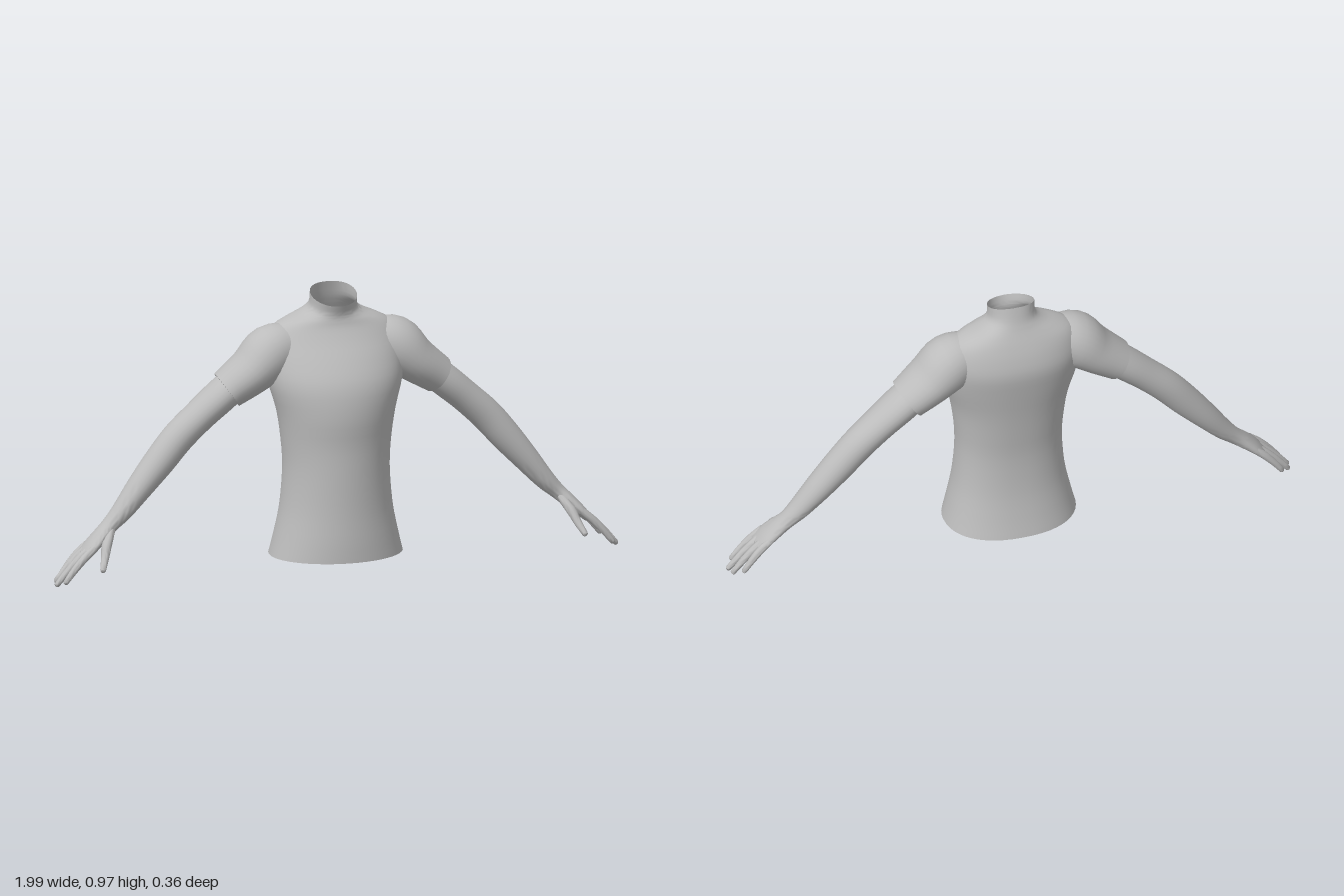
import * as THREE from 'three';
import { toCreasedNormals } from 'three/addons/utils/BufferGeometryUtils.js';

const V = (x, y, z) => new THREE.Vector3(x, y, z);

// Skin a list of closed rings (arrays of Vector3, same length).
function loft(rings, mirror = false, crease = 1) {
  const n = rings[0].length, pos = [], idx = [];
  for (const ring of rings) for (const p of ring) pos.push(mirror ? -p.x : p.x, p.y, p.z);
  for (let r = 0; r < rings.length - 1; r++) {
    for (let i = 0; i < n; i++) {
      const j = (i + 1) % n, a = r * n + i, b = r * n + j, c = a + n, d = b + n;
      if (mirror) idx.push(a, b, c, b, d, c);
      else idx.push(a, c, b, b, c, d);
    }
  }
  const g = new THREE.BufferGeometry();
  g.setAttribute('position', new THREE.Float32BufferAttribute(pos, 3));
  g.setIndex(idx);
  return toCreasedNormals(g, crease);
}

// Smooth curve through three-number samples, sampled evenly between them.
function smooth(list, steps) {
  const curve = new THREE.CatmullRomCurve3(list.map(p => V(...p)), false, 'catmullrom', 0.5);
  return curve.getPoints((list.length - 1) * steps);
}

// Rings along a path; each station is [x, y, z, radius in the front plane, radius across].
function limbRings(stations, sides = 20, steps = 4) {
  const path = smooth(stations.map(s => s.slice(0, 3)), steps);
  const radii = smooth(stations.map(s => [s[3], s[4], 0]), steps);
  return path.map((p, k) => {
    const d = path[Math.min(k + 1, path.length - 1)].clone().sub(path[Math.max(k - 1, 0)]).normalize();
    const n = d.clone().cross(V(0, 0, 1)).normalize();
    const b = n.clone().cross(d);
    return Array.from({ length: sides }, (_, i) => {
      const a = i / sides * Math.PI * 2;
      return p.clone().addScaledVector(n, Math.cos(a) * radii[k].x).addScaledVector(b, Math.sin(a) * radii[k].y);
    });
  });
}

// Shrink a ring towards its centre.
function shrink(ring, f) {
  const c = ring.reduce((s, p) => s.add(p), V(0, 0, 0)).divideScalar(ring.length);
  return ring.map(p => p.clone().sub(c).multiplyScalar(f).add(c));
}

// Close the far end of a limb with a rounded tip.
function roundTip(rings, length) {
  const last = rings[rings.length - 1], prev = rings[rings.length - 2];
  const centre = r => r.reduce((s, p) => s.add(p), V(0, 0, 0)).divideScalar(r.length);
  const d = centre(last).sub(centre(prev)).normalize();
  for (const a of [0.4, 0.8, 1.2, 1.56]) {
    rings.push(shrink(last, Math.cos(a)).map(p => p.addScaledVector(d, length * Math.sin(a))));
  }
  return rings;
}

// Torso rows: [height, half width, front z, back z, middle z, tilt]
const TORSO = [
  [0.05, 0.23, 0.18, -0.18, 0, 0],
  [0.12, 0.213, 0.178, -0.163, 0, 0],
  [0.22, 0.193, 0.172, -0.145, 0, 0],
  [0.35, 0.183, 0.169, -0.137, 0, 0],
  [0.45, 0.189, 0.168, -0.143, 0, 0],
  [0.55, 0.204, 0.174, -0.153, 0, 0],
  [0.65, 0.232, 0.16, -0.167, -0.01, 0],
  [0.73, 0.24, 0.118, -0.175, -0.03, 0],
  [0.79, 0.232, 0.077, -0.163, -0.04, 0],
  [0.835, 0.208, 0.05, -0.146, -0.045, 0],
  [0.862, 0.16, 0.042, -0.131, -0.04, 0.05],
  [0.88, 0.114, 0.04, -0.12, -0.035, 0.12],
  [0.902, 0.084, 0.042, -0.109, -0.03, 0.22],
  [0.943, 0.08, 0.052, -0.096, -0.028, 0.36],
];

function torsoRings() {
  const steps = 3, sides = 48;
  const a = smooth(TORSO.map(r => r.slice(0, 3)), steps);
  const b = smooth(TORSO.map(r => r.slice(3)), steps);
  return a.map(({ x: y, y: w, z: front }, k) => {
    const { x: back, y: mid, z: tilt } = b[k];
    return Array.from({ length: sides }, (_, i) => {
      const t = i / sides * Math.PI * 2, c = Math.cos(t), s = Math.sin(t);
      const power = s < 0 ? 0.88 : 1;
      const x = w * Math.sign(c) * Math.abs(c) ** power;
      const z = mid + (s > 0 ? front - mid : mid - back) * Math.sign(s) * Math.abs(s) ** power;
      return V(x, y - tilt * (z + 0.027), z);
    });
  });
}

const SLEEVE = [
  [0.13, 0.77, -0.04, 0.075, 0.07],
  [0.215, 0.75, -0.04, 0.095, 0.098],
  [0.288, 0.69, -0.04, 0.079, 0.1],
  [0.372, 0.629, -0.046, 0.066, 0.086],
];

const ARM = [
  [0.32, 0.67, -0.045, 0.055, 0.073],
  [0.4, 0.605, -0.045, 0.056, 0.073],
  [0.47, 0.545, -0.046, 0.054, 0.066],
  [0.545, 0.475, -0.046, 0.055, 0.06],
  [0.61, 0.4, -0.042, 0.053, 0.057],
  [0.68, 0.318, -0.037, 0.045, 0.052],
  [0.745, 0.24, -0.03, 0.035, 0.043],
  [0.79, 0.195, -0.026, 0.027, 0.036],
  [0.825, 0.163, -0.018, 0.024, 0.044],
  [0.86, 0.131, -0.012, 0.02, 0.052],
  [0.888, 0.103, -0.011, 0.015, 0.052],
];

// Finger rows: [base z, tip x, tip y, tip z]
const FINGERS = [
  [0.029, 0.966, 0.022, 0.039],
  [0.002, 0.987, 0.008, 0.006],
  [-0.024, 0.98, 0.014, -0.027],
  [-0.049, 0.95, 0.034, -0.057],
];

const THUMB = [
  [0.795, 0.18, -0.004, 0.014, 0.018],
  [0.82, 0.142, 0.033, 0.017, 0.02],
  [0.835, 0.105, 0.062, 0.014, 0.014],
  [0.852, 0.069, 0.094, 0.01, 0.01],
];

export function createModel() {
  const model = new THREE.Group();
  const grey = new THREE.MeshStandardMaterial({ color: 0xbcbcbc, side: THREE.DoubleSide });
  grey.name = 'plain grey';
  const add = (parent, name, geometry) => {
    const mesh = new THREE.Mesh(geometry, grey);
    mesh.name = name;
    parent.add(mesh);
  };

  // Shirt body with open collar and closed hem
  const body = torsoRings();
  add(model, 'shirtBody', loft(body, false, 1.2));
  add(model, 'hemCap', loft([shrink(body[0], 0.001), body[0]]));

  for (const mirror of [false, true]) {
    const side = new THREE.Group();
    side.name = mirror ? 'rightArm' : 'leftArm';
    model.add(side);

    // Sleeve, with its cuff turned inwards
    const sleeve = limbRings(SLEEVE, 28);
    sleeve.push(shrink(sleeve[sleeve.length - 1], 0.8));
    add(side, 'sleeve', loft(sleeve, mirror));

    // Arm and palm
    add(side, 'armAndPalm', loft(roundTip(limbRings(ARM, 24), 0.012), mirror));

    // Fingers and thumb
    for (const [z, tx, ty, tz] of FINGERS) {
      const at = (t, r) => [0.86 + (tx - 0.86) * t, 0.131 + (ty - 0.131) * t + 0.008 * Math.sin(t * Math.PI), z + (tz - z) * t, r, r];
      const rings = limbRings([at(0, 0.013), at(0.35, 0.0135), at(0.7, 0.012), at(1, 0.0095)], 12, 3);
      add(side, 'finger', loft(roundTip(rings, 0.009), mirror));
    }
    add(side, 'thumb', loft(roundTip(limbRings(THUMB, 12, 3), 0.009), mirror));
  }
  return model;
}
